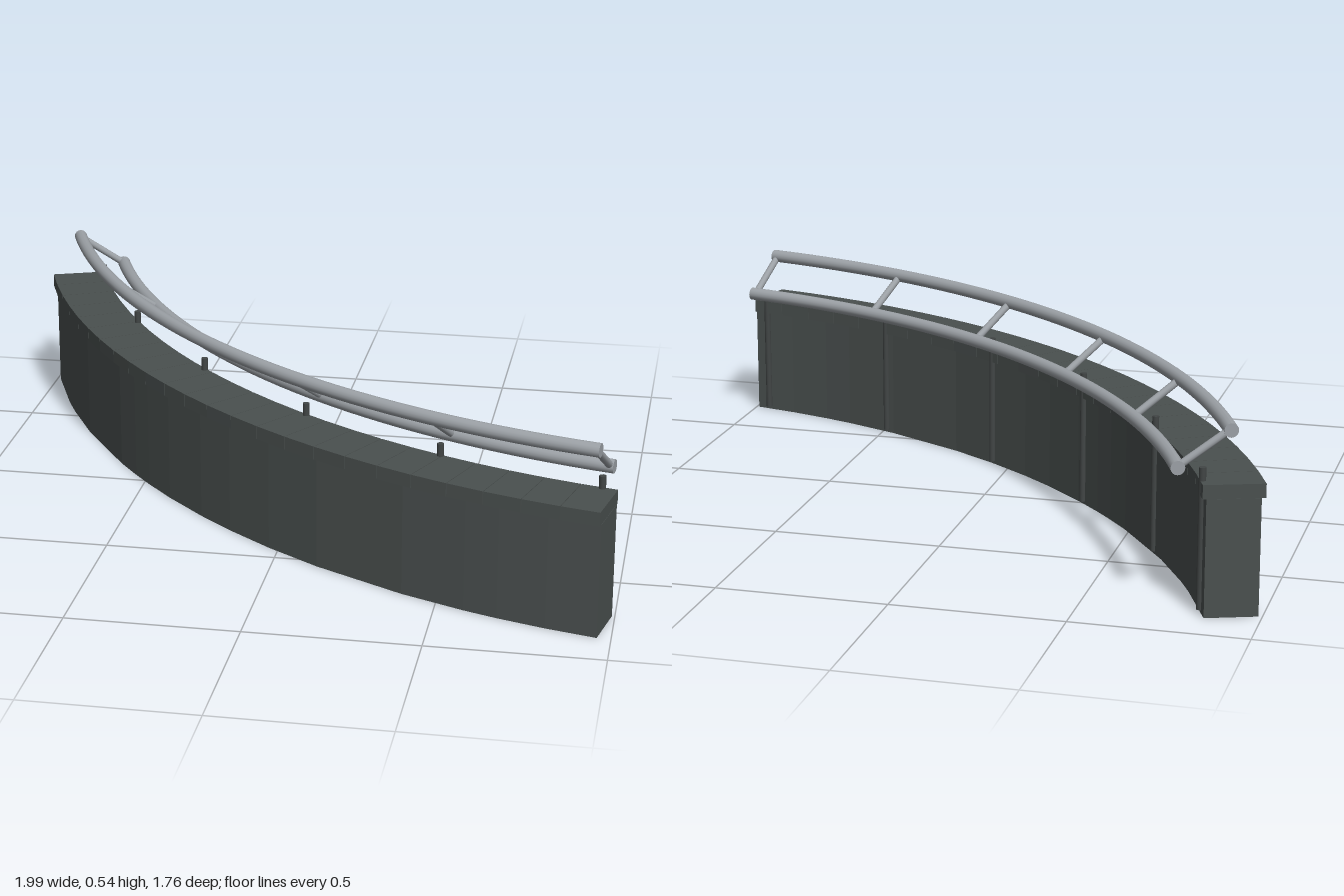
import * as THREE from 'three';

// Everything follows one circular arc around a centre behind the model
const CX = 1.515, CZ = -1.738, START = 20, END = 78, MID = 49;
const rad = THREE.MathUtils.degToRad;

function polar(deg, r, y) {
  return new THREE.Vector3(CX - r * Math.cos(rad(deg)), y, CZ + r * Math.sin(rad(deg)));
}

// Move each vertex of a geometry by a rule
function remap(geo, rule) {
  const p = geo.attributes.position;
  for (let i = 0; i < p.count; i++) {
    const v = rule(p.getX(i), p.getY(i), p.getZ(i));
    p.setXYZ(i, v.x, v.y, v.z);
  }
  geo.computeVertexNormals();
  return geo;
}

// Wedge-shaped block between two angles, radii and heights
function arcBlock(a0, a1, r0, r1, y0, y1) {
  return remap(new THREE.BoxGeometry(1, 1, 1), (x, y, z) =>
    polar(a0 + (x + 0.5) * (a1 - a0), r0 + (z + 0.5) * (r1 - r0), y0 + (y + 0.5) * (y1 - y0)));
}

// Capped round bar bent along the arc
function arcBar(a0, a1, r, y, thickness) {
  return remap(new THREE.CylinderGeometry(thickness, thickness, 1, 16, 40), (x, t, z) =>
    polar(a0 + (t + 0.5) * (a1 - a0), r + x, y + z));
}

// Straight round bar between two points
function rod(from, to, thickness) {
  const dir = to.clone().sub(from);
  const geo = new THREE.CylinderGeometry(thickness, thickness, dir.length(), 12);
  geo.applyQuaternion(new THREE.Quaternion().setFromUnitVectors(
    new THREE.Vector3(0, 1, 0), dir.normalize()));
  const c = from.clone().add(to).multiplyScalar(0.5);
  return geo.translate(c.x, c.y, c.z);
}

export function createModel() {
  const stone = new THREE.MeshStandardMaterial({ color: 0x4a504f });
  stone.name = 'dark grey panel';
  const postGrey = new THREE.MeshStandardMaterial({ color: 0x424646 });
  postGrey.name = 'post grey';
  const steel = new THREE.MeshStandardMaterial({ color: 0x9ca1a6 });
  steel.name = 'brushed steel';

  const model = new THREE.Group();
  model.name = 'curvedBarrier';
  const group = (name) => {
    const g = new THREE.Group();
    g.name = name;
    model.add(g);
    return g;
  };
  const add = (parent, name, geo, mat) => {
    const mesh = new THREE.Mesh(geo, mat);
    mesh.name = name;
    parent.add(mesh);
  };

  // Wall of flat panels with uneven widths
  const wall = group('wall');
  const seams = [START, 24.8, 26.7, 31, 37.3, 39.6, 41.5, 44.2, 47.9, 50.9,
    54.6, 58.7, 65.2, 69.5, 71.7, 74.8, END];
  for (let i = 0; i < seams.length - 1; i++) {
    add(wall, 'wallPanel', arcBlock(seams[i], seams[i + 1], 2.516, 2.665, 0, 0.335), stone);
  }

  // Coping slabs with fine joints
  const coping = group('coping');
  const slabs = 24, step = (END - START) / slabs;
  for (let i = 0; i < slabs; i++) {
    const a = START + i * step;
    add(coping, 'copingSlab', arcBlock(a + 0.02, a + step - 0.02, 2.506, 2.677, 0.335, 0.375), stone);
  }

  // High outer rail and low inner rail
  const rails = group('rails');
  add(rails, 'upperRail', arcBar(20.7, 77.3, 2.585, 0.515, 0.02), steel);
  add(rails, 'lowerRail', arcBar(20.7, 77.3, 2.443, 0.415, 0.02), steel);

  // Posts on the inner face, with a slanted strut joining the rails at each
  const posts = group('posts');
  const struts = group('struts');
  for (let i = 0; i < 6; i++) {
    const a = MID + (i - 2.5) * 11.2;
    add(posts, 'post', rod(polar(a, 2.512, 0.01), polar(a, 2.512, 0.412), 0.01), postGrey);
    add(struts, 'strut', rod(polar(a, 2.585, 0.515), polar(a, 2.443, 0.415), 0.011), steel);
  }
  return model;
}
